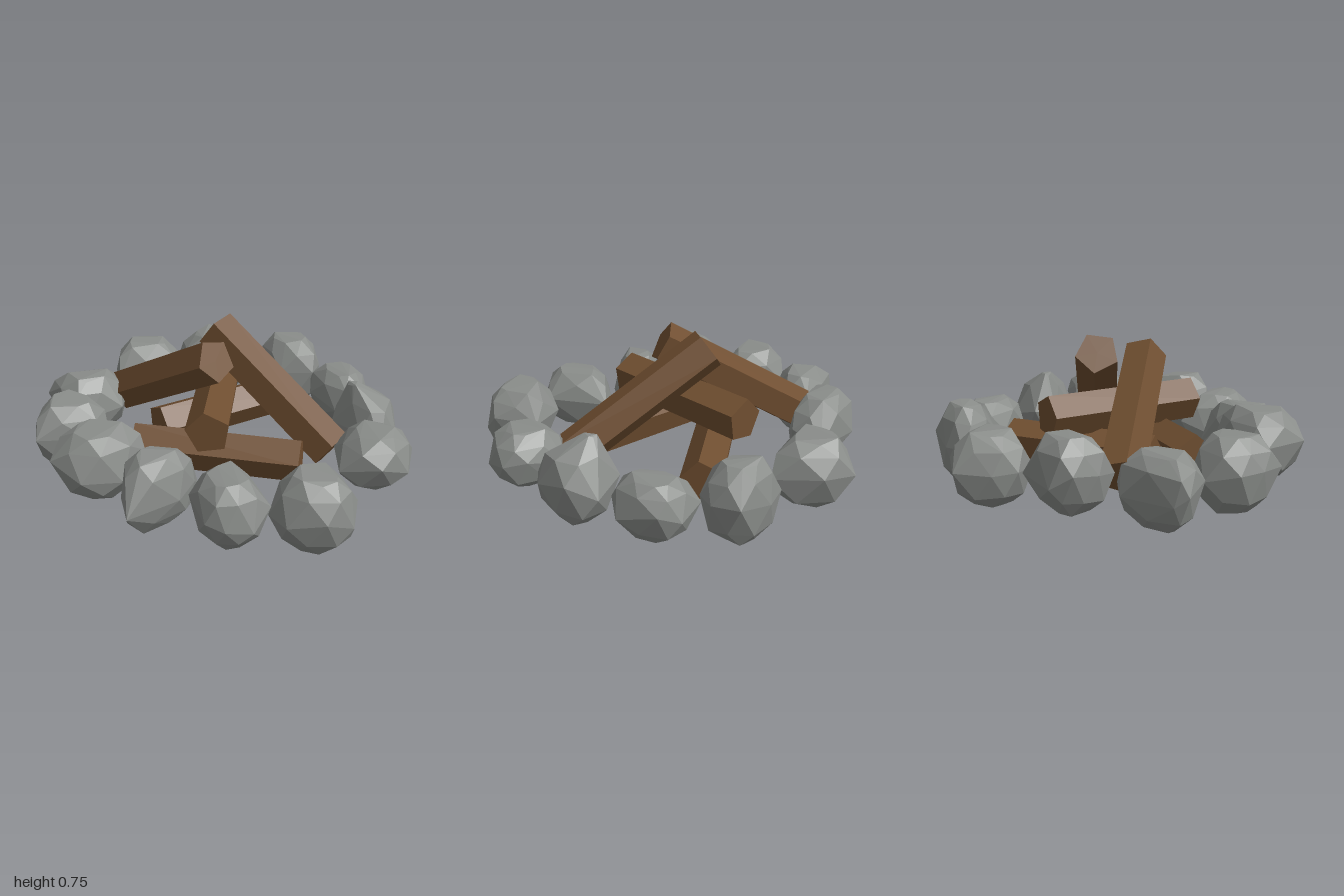
import * as THREE from 'three';
import { ConvexGeometry } from 'three/addons/geometries/ConvexGeometry.js';

const stoneMat = new THREE.MeshStandardMaterial({ color: 0x8a8d8a, flatShading: true });
const woodMat = new THREE.MeshStandardMaterial({ color: 0x6f4e30, flatShading: true });

function seeded(seed) {
  let s = seed * 7919 + 17;
  return () => (s = (s * 16807) % 2147483647) / 2147483647;
}

// Faceted stone: a plan outline [x, z, x, z, ...] repeated at five levels from y0 to y1,
// fullest at the waist; an optional peak [x, z] gives it a pointed top
function makeStone(seed, y0, y1, plan, peak) {
  const rand = seeded(seed);
  for (let i = 0; i < 5; i++) rand();
  const outline = [];
  for (let i = 0; i < plan.length; i += 2) outline.push(new THREE.Vector2(plan[i], plan[i + 1]));
  const n = outline.length;
  const centre = outline.reduce((sum, p) => sum.add(p), new THREE.Vector2()).divideScalar(n);
  const top = peak ? new THREE.Vector2(...peak) : centre;
  // level, scale, shift between corners, middle of the level
  const levels = [
    [0.03, 0.48, 0, centre],
    [0.2, 0.9, 0.5, centre],
    [0.5, 1, 0, centre],
    [0.8, peak ? 0.75 : 0.9, 0.5, centre],
    [0.97, peak ? 0.15 : 0.5, 0, top],
  ];
  const points = [];
  for (const [t, scale, shift, middle] of levels) {
    const loose = scale < 1 ? 0.12 : 0;
    const sway = scale < 1 ? 0.06 : 0.24;
    for (let i = 0; i < n; i++) {
      const p = outline[i].clone().lerp(outline[(i + 1) % n], shift).sub(centre);
      p.multiplyScalar(scale * (1 + loose * (rand() - 0.5))).add(middle);
      const h = t + sway * (rand() - 0.5);
      points.push(new THREE.Vector3(p.x, y0 + (y1 - y0) * h, p.y));
    }
  }
  const stone = new THREE.Mesh(new ConvexGeometry(points), stoneMat);
  stone.name = `stone${seed}`;
  return stone;
}

// Five-sided log between two end points, rolled about its own axis
function makeLog(name, from, to, rollDeg) {
  const a = new THREE.Vector3(...from), b = new THREE.Vector3(...to);
  const axis = b.clone().sub(a);
  const geo = new THREE.CylinderGeometry(0.11, 0.11, axis.length(), 5, 1, false,
    THREE.MathUtils.degToRad(rollDeg));
  axis.normalize();
  const side = axis.clone().cross(new THREE.Vector3(0, 1, 0)).normalize();
  const up = side.clone().cross(axis);
  const log = new THREE.Mesh(geo, woodMat);
  log.name = name;
  log.quaternion.setFromRotationMatrix(new THREE.Matrix4().makeBasis(side, axis, up));
  log.position.copy(a).add(b).multiplyScalar(0.5);
  return log;
}

export function createModel() {
  const model = new THREE.Group();
  model.name = 'campfire';

  // Ring of stones, from the back round by the model's left
  const ring = new THREE.Group();
  ring.name = 'stoneRing';
  ring.add(
    makeStone(1, 0.05, 0.41, [-0.57, -0.66, -0.51, -0.83, -0.33, -0.84, -0.14, -0.68, -0.22, -0.57, -0.41, -0.46, -0.56, -0.54]),
    makeStone(2, 0.02, 0.43, [-0.14, -0.78, -0.04, -0.86, 0.14, -0.91, 0.23, -0.8, 0.23, -0.69, 0.07, -0.6, -0.1, -0.68]),
    makeStone(3, 0.05, 0.36, [0.22, -0.69, 0.36, -0.79, 0.47, -0.77, 0.6, -0.61, 0.56, -0.46, 0.46, -0.43, 0.27, -0.55]),
    makeStone(4, 0.02, 0.45, [0.48, -0.37, 0.63, -0.48, 0.77, -0.43, 0.84, -0.25, 0.8, -0.12, 0.68, -0.15, 0.5, -0.25], [0.59, -0.29]),
    makeStone(5, 0.1, 0.39, [0.61, 0.04, 0.65, -0.11, 0.85, -0.14, 0.96, -0.1, 0.99, 0.06, 0.9, 0.2, 0.7, 0.22]),
    makeStone(6, 0.02, 0.4, [0.51, 0.45, 0.68, 0.28, 0.86, 0.44, 0.88, 0.53, 0.8, 0.66, 0.63, 0.7, 0.51, 0.62]),
    makeStone(7, 0.03, 0.37, [0.25, 0.41, 0.52, 0.61, 0.5, 0.75, 0.4, 0.83, 0.3, 0.83, 0.14, 0.67, 0.17, 0.53]),
    makeStone(8, 0.01, 0.39, [-0.18, 0.66, -0.14, 0.56, 0.09, 0.48, 0.11, 0.55, 0.1, 0.68, -0.05, 0.9, -0.17, 0.75]),
    makeStone(9, 0.09, 0.44, [-0.56, 0.62, -0.5, 0.52, -0.2, 0.46, -0.16, 0.53, -0.17, 0.72, -0.3, 0.87, -0.5, 0.82]),
    makeStone(10, 0.05, 0.41, [-0.84, 0.4, -0.77, 0.25, -0.55, 0.25, -0.45, 0.38, -0.5, 0.49, -0.72, 0.63, -0.8, 0.52]),
    makeStone(11, 0.03, 0.38, [-1, 0.13, -0.97, 0.07, -0.75, -0.12, -0.64, -0.11, -0.58, 0.05, -0.7, 0.22, -0.77, 0.26]),
    makeStone(12, 0.08, 0.44, [-0.82, -0.33, -0.77, -0.43, -0.52, -0.52, -0.44, -0.38, -0.47, -0.3, -0.7, -0.13, -0.77, -0.21]),
  );

  // Stack of logs: two flat at the bottom, one across, two leaning on top
  const logs = new THREE.Group();
  logs.name = 'logStack';
  logs.add(
    makeLog('frontBaseLog', [-0.33, 0.2, 0.33], [0.48, 0.2, 0.14], 5),
    makeLog('backBaseLog', [-0.31, 0.2, 0.13], [0.13, 0.2, -0.52], 10),
    makeLog('crossLog', [-0.17, 0.39, -0.37], [0.11, 0.39, 0.41], 10),
    makeLog('rightLeaningLog', [-0.66, 0.23, -0.1], [0.03, 0.645, 0.155], 20),
    makeLog('leftLeaningLog', [-0.1, 0.685, -0.11], [0.585, 0.21, 0.005], -28),
  );

  model.add(ring, logs);
  return model;
}
